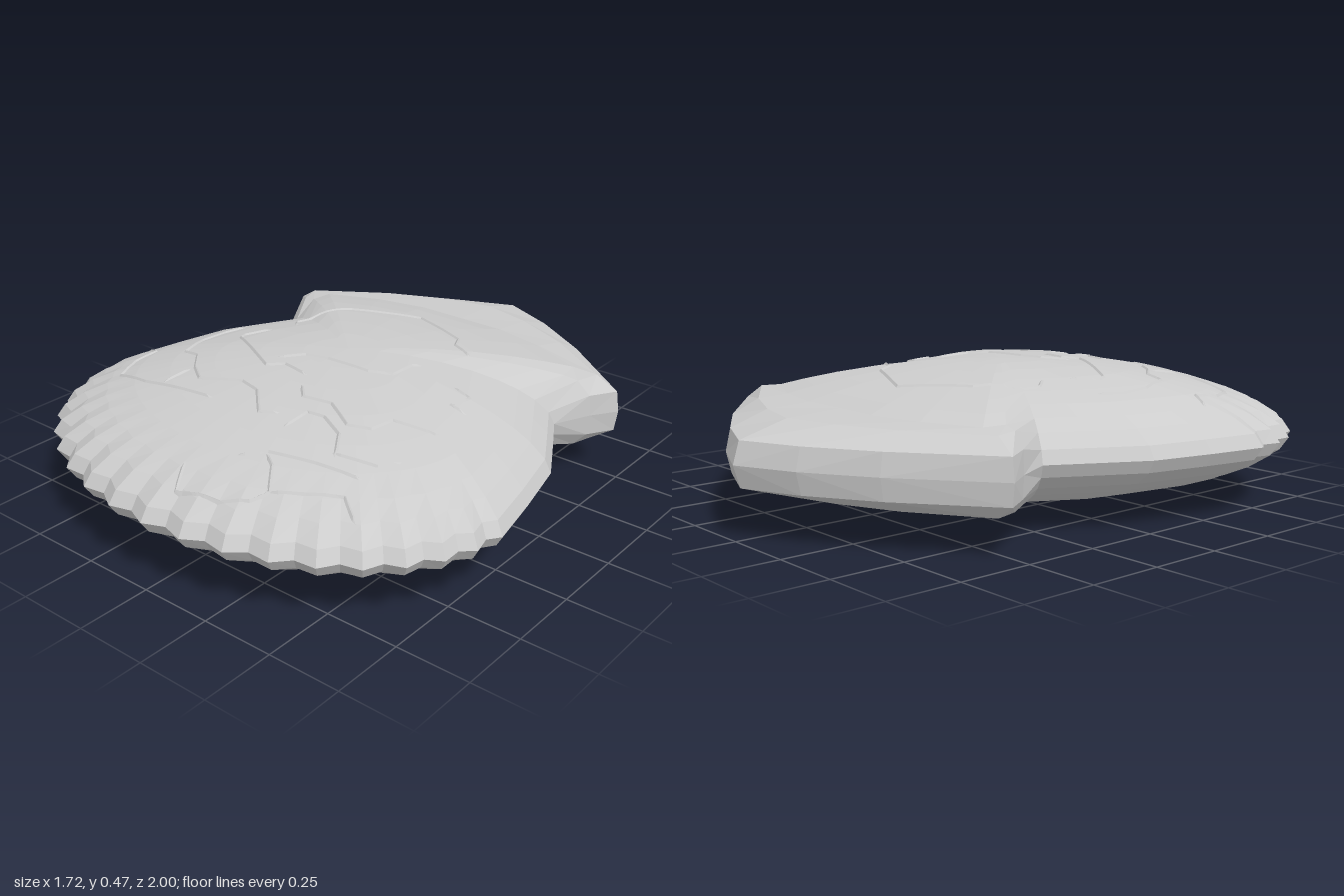
import * as THREE from 'three';

const MID = 0.2325, CZ = 0.05;
const INNER = [0.15, 0.3, 0.45, 0.6, 0.72, 0.82];
const dome = (t) => MID * Math.pow(Math.max(0, 1 - t * t), 0.6);

// One radial column: points [x, y, z] running from near the centre to the rim
function wingColumn(px, pz, bx, bz) {
  const pts = INNER.map((t) => {
    const s = t / 0.82;
    return [bx * s, 0.13 + (MID - 0.13) * (1 - s * s), CZ + (bz - CZ) * s];
  });
  [[0.5, 0.12], [0.94, 0.073], [1, 0]].forEach(([q, h]) =>
    pts.push([bx + (px - bx) * q, h, bz + (pz - bz) * q]));
  return pts;
}
function bodyColumn(px, pz, notch = 0) {
  return [...INNER, 0.9, 0.97, 1].map((t) => {
    const k = t * (1 - notch * THREE.MathUtils.smoothstep(t, 0.7, 1));
    return [px * k, dome(t), CZ + (pz - CZ) * k];
  });
}

function shellGeometry() {
  // Half the outline: hinge wing, waist, then scalloped front lip
  const half = [
    wingColumn(0, -1, 0, -0.62),
    wingColumn(0.2, -0.91, 0.17, -0.62),
    wingColumn(0.42, -0.77, 0.36, -0.58),
    wingColumn(0.72, -0.53, 0.55, -0.5),
    wingColumn(0.66, -0.44, 0.56, -0.42),
    bodyColumn(0.6, -0.31),
    bodyColumn(0.68, -0.17),
    bodyColumn(0.77, -0.01),
    bodyColumn(0.82, 0.2),
  ];
  const steps = 18;
  for (let i = 0; i <= steps; i++) {
    const a = (i / steps) * Math.PI / 2;
    half.push(bodyColumn(0.86 * Math.cos(a), 0.4 + 0.6 * Math.sin(a), i % 2 ? 0.03 : 0));
  }
  const mirrored = half.slice(1, -1).reverse().map((c) => c.map(([x, y, z]) => [-x, y, z]));
  const cols = [...half, ...mirrored];
  const n = cols.length, rings = cols[0].length;
  const pos = [], idx = [];
  // Upper and lower valves
  for (const side of [1, -1]) {
    const base = pos.length / 3;
    pos.push(0, MID + side * MID, CZ);
    cols.forEach((c) => c.forEach(([x, y, z]) => pos.push(x, MID + side * y, z)));
    const tri = (a, b, c) => (side > 0 ? idx.push(a, b, c) : idx.push(a, c, b));
    const at = (i, j) => base + 1 + (i % n) * rings + j;
    for (let i = 0; i < n; i++) {
      tri(base, at(i + 1, 0), at(i, 0));
      for (let j = 0; j < rings - 1; j++) {
        tri(at(i, j), at(i + 1, j), at(i + 1, j + 1));
        tri(at(i, j), at(i + 1, j + 1), at(i, j + 1));
      }
    }
  }
  const g = new THREE.BufferGeometry();
  g.setAttribute('position', new THREE.Float32BufferAttribute(pos, 3));
  g.setIndex(idx);
  g.computeVertexNormals();
  return g;
}

// Narrow raised ridge following an x,z path over the shell
function ridgeGeometry(path, heightAt) {
  const pts = [];
  for (let i = 0; i < path.length - 1; i++) {
    const [x0, z0] = path[i], [x1, z1] = path[i + 1];
    const m = Math.max(1, Math.ceil(Math.hypot(x1 - x0, z1 - z0) / 0.03));
    for (let k = 0; k < m; k++) pts.push([x0 + (x1 - x0) * k / m, z0 + (z1 - z0) * k / m]);
  }
  pts.push(path[path.length - 1]);
  const pos = [], idx = [];
  pts.forEach(([x, z], i) => {
    const a = pts[Math.max(0, i - 1)], b = pts[Math.min(pts.length - 1, i + 1)];
    const len = Math.hypot(b[0] - a[0], b[1] - a[1]) || 1;
    const nx = -(b[1] - a[1]) / len, nz = (b[0] - a[0]) / len;
    const end = i === 0 || i === pts.length - 1;
    [[-0.009, -0.003], [0, end ? 0 : 0.006], [0.009, -0.003]].forEach(([o, lift]) => {
      const X = x + nx * o, Z = z + nz * o;
      pos.push(X, heightAt(X, Z) + lift, Z);
    });
    if (i) for (let j = 0; j < 2; j++) {
      const p = (i - 1) * 3 + j, q = i * 3 + j;
      idx.push(p, p + 1, q + 1, p, q + 1, q);
    }
  });
  const g = new THREE.BufferGeometry();
  g.setAttribute('position', new THREE.Float32BufferAttribute(pos, 3));
  g.setIndex(idx);
  g.computeVertexNormals();
  return g;
}

const RIGHT_RIDGES = [
  [[-0.32, -0.05], [-0.36, -0.1], [-0.34, -0.2], [-0.27, -0.3], [-0.04, -0.42], [0.05, -0.38], [0.2, -0.31], [0.23, -0.25], [0.32, -0.21]],
  [[-0.36, 0.03], [-0.41, 0.12], [-0.4, 0.15], [-0.23, 0.25], [-0.14, 0.3], [-0.09, 0.26], [0.02, 0.28]],
  [[-0.15, 0.24], [-0.08, 0.17], [0, 0.15], [0.16, 0.14], [0.23, 0.1], [0.23, 0], [0.25, -0.03]],
  [[-0.5, 0.02], [-0.53, 0.1], [-0.53, 0.21], [-0.49, 0.33], [-0.42, 0.34], [-0.35, 0.42], [-0.28, 0.47], [-0.13, 0.42], [-0.05, 0.44], [0.04, 0.53], [0.1, 0.5]],
  [[-0.7, 0.31], [-0.63, 0.34], [-0.64, 0.43], [-0.6, 0.53], [-0.45, 0.55], [-0.15, 0.54]],
  [[-0.36, 0.43], [-0.38, 0.54]],
];
const LEFT_RIDGES = [
  [[0.05, 0.34], [0.1, 0.39], [0.2, 0.37], [0.31, 0.43], [0.38, 0.4], [0.4, 0.32], [0.53, 0.28], [0.56, 0.18]],
  [[0.16, 0.55], [0.17, 0.45], [0.23, 0.44], [0.32, 0.48], [0.38, 0.57]],
  [[0.54, 0.46], [0.5, 0.52], [0.36, 0.56]],
  [[0.13, 0.72], [0.2, 0.66], [0.35, 0.62], [0.5, 0.59]],
  [[0.2, 0.67], [0.25, 0.7], [0.31, 0.78], [0.28, 0.83], [0.2, 0.87], [0.05, 0.9], [0, 0.81]],
  [[0.31, 0.78], [0.5, 0.67], [0.58, 0.72]],
  [[0.4, 0], [0.47, 0.01], [0.46, 0.1], [0.52, 0.1]],
];

export function createModel() {
  const group = new THREE.Group();
  const material = new THREE.MeshStandardMaterial({ color: 0xcccccc, flatShading: true });
  const shell = new THREE.Mesh(shellGeometry(), material);
  shell.name = 'shell';
  group.add(shell);

  // Surface height lookup for the ridges
  const ray = new THREE.Raycaster();
  const down = new THREE.Vector3(0, -1, 0);
  const heightAt = (x, z) => {
    ray.set(new THREE.Vector3(x, 2, z), down);
    const hit = ray.intersectObject(shell)[0];
    return hit ? hit.point.y : MID;
  };
  const ridgeMaterial = new THREE.MeshStandardMaterial({ color: 0xcccccc, flatShading: true, side: THREE.DoubleSide });
  const ridges = new THREE.Group();
  ridges.name = 'surfaceRidges';
  for (const path of [...RIGHT_RIDGES, ...LEFT_RIDGES]) {
    const ridge = new THREE.Mesh(ridgeGeometry(path, heightAt), ridgeMaterial);
    ridge.name = 'ridge';
    ridges.add(ridge);
  }
  group.add(ridges);
  return group;
}
